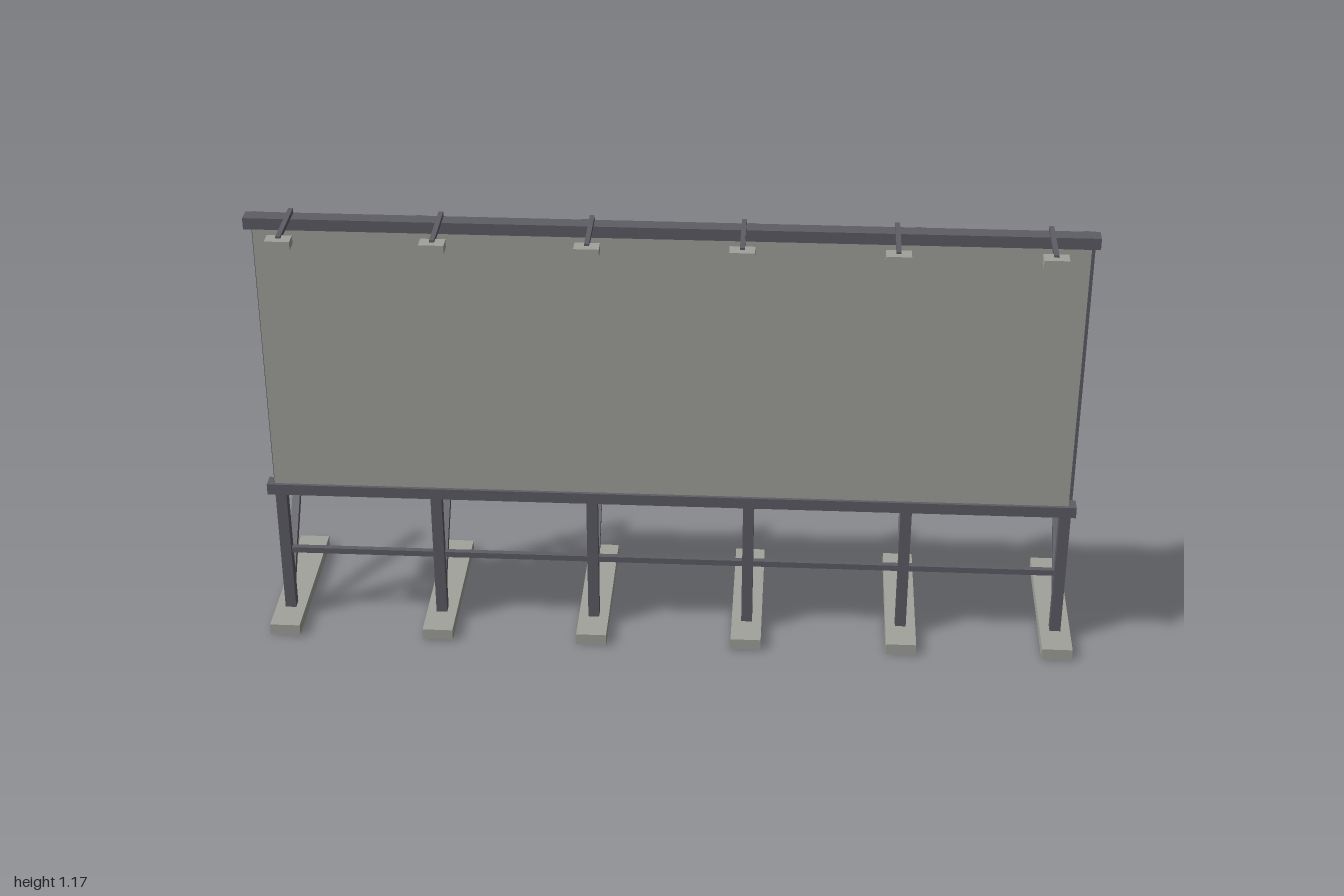
import * as THREE from 'three';

export function createModel() {
  const model = new THREE.Group();
  model.name = 'billboard';

  const steel = new THREE.MeshStandardMaterial({ color: 0x5e5d65 });
  steel.name = 'dark steel';
  const grey = new THREE.MeshStandardMaterial({ color: 0xa2a29c });
  grey.name = 'pale grey';

  // Box given by its extents along each axis
  function box(parent, name, material, [x0, x1], [y0, y1], [z0, z1]) {
    const mesh = new THREE.Mesh(new THREE.BoxGeometry(x1 - x0, y1 - y0, z1 - z0), material);
    mesh.position.set((x0 + x1) / 2, (y0 + y1) / 2, (z0 + z1) / 2);
    mesh.name = name;
    parent.add(mesh);
    return mesh;
  }
  const around = (centre, size) => [centre - size / 2, centre + size / 2];

  // Six supports: footing, post and slanted rear brace
  for (let i = 0; i < 6; i++) {
    const support = new THREE.Group();
    support.name = 'support';
    support.position.x = (i - 2.5) * 0.385;
    model.add(support);
    box(support, 'footing', grey, around(0, 0.075), [0.001, 0.03], [-0.287, 0.134]);
    box(support, 'post', steel, around(0, 0.027), [0, 1.117], [0.025, 0.052]);

    const low = new THREE.Vector3(0, 0.093, 0.015);
    const high = new THREE.Vector3(0, 0.372, -0.207);
    const along = high.clone().sub(low);
    const brace = new THREE.Mesh(new THREE.BoxGeometry(0.019, along.length(), 0.019), steel);
    brace.name = 'brace';
    brace.position.copy(low).add(high).multiplyScalar(0.5);
    brace.rotation.x = Math.atan2(along.z, along.y);
    support.add(brace);
  }

  // Horizontal rails tying the posts together
  for (const y of [0.195, 0.385, 0.61, 0.84]) {
    box(model, 'crossRail', steel, [-0.962, 0.962], around(y, 0.015), [0.028, 0.042]);
  }

  // Display panel with its top and bottom rails
  box(model, 'panel', grey, [-0.961, 0.961], [0.41, 1.13], [0.084, 0.108]);
  for (const [name, y] of [['topRail', 1.127], ['bottomRail', 0.415]]) {
    box(model, name, steel, [-0.98, 0.98], around(y, 0.028), [0.079, 0.116]);
  }

  // Maintenance walkway behind the panel
  box(model, 'walkway', grey, [-0.962, 0.962], [0.402, 0.41], [-0.078, 0.027]);

  // Row of lamps on arms reaching forward
  for (let i = 0; i < 6; i++) {
    const lamp = new THREE.Group();
    lamp.name = 'lamp';
    lamp.position.x = (i - 2.5) * 0.346;
    model.add(lamp);
    box(lamp, 'lampArm', steel, around(0, 0.011), [1.159, 1.17], [0.117, 0.27]);
    box(lamp, 'lampHead', grey, around(0, 0.057), [1.145, 1.165], [0.252, 0.287]);
  }

  return model;
}
